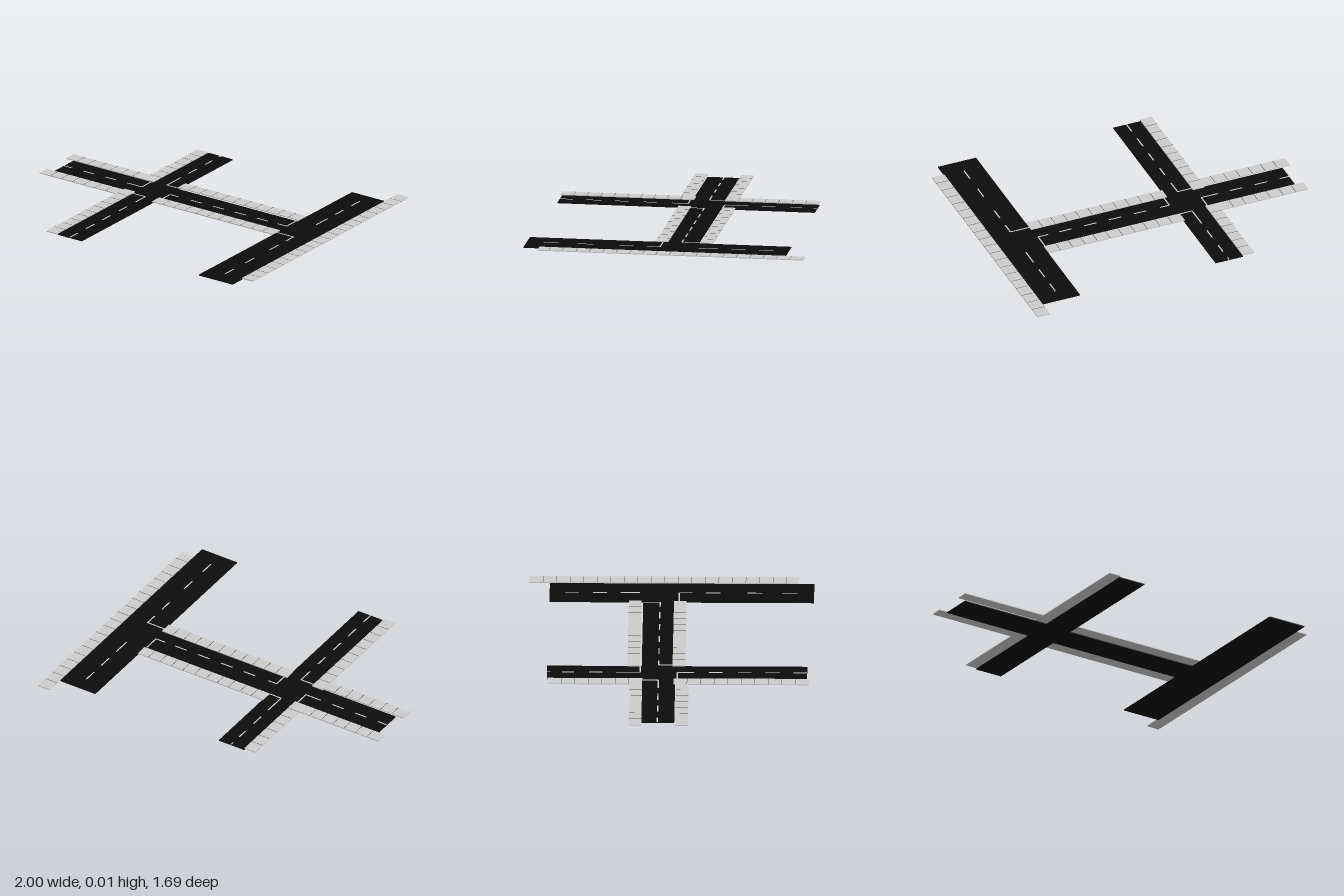
import * as THREE from 'three';

const ROAD_TOP = 0.006, WALK_TOP = 0.012, TILE = 0.08, LINE = 0.008;

const asphalt = new THREE.MeshStandardMaterial({ color: 0x0c0c0c });
const paving = new THREE.MeshStandardMaterial({ color: 0xcccccc });
const paint = new THREE.MeshStandardMaterial({ color: 0xcccccc });
const joint = new THREE.MeshStandardMaterial({ color: 0x555555 });

// Flat box spanning the given x, y and z ranges
function slab(parent, name, material, [x0, x1], [y0, y1], [z0, z1]) {
  const mesh = new THREE.Mesh(new THREE.BoxGeometry(x1 - x0, y1 - y0, z1 - z0), material);
  mesh.position.set((x0 + x1) / 2, (y0 + y1) / 2, (z0 + z1) / 2);
  mesh.name = name;
  parent.add(mesh);
}

// Raised pavement with a dark joint between each square tile
function sidewalk(parent, name, xs, zs) {
  const group = new THREE.Group();
  group.name = name;
  slab(group, 'pavingSlab', paving, xs, [ROAD_TOP, WALK_TOP - 0.0005], zs);
  const alongX = xs[1] - xs[0] > zs[1] - zs[0];
  const [start, end] = alongX ? xs : zs;
  for (let p = start + TILE; p < end - 0.01; p += TILE) {
    const cut = [p - 0.0015, p + 0.0015], h = [WALK_TOP - 0.001, WALK_TOP];
    slab(group, 'tileJoint', joint, alongX ? cut : xs, h, alongX ? zs : cut);
  }
  parent.add(group);
}

// Painted line lying on the road, along x or z
function line(parent, name, axis, centre, from, to) {
  const across = [centre - LINE / 2, centre + LINE / 2], along = [from, to];
  slab(parent, name, paint, axis === 'x' ? along : across,
    [ROAD_TOP - 0.001, ROAD_TOP + 0.001], axis === 'x' ? across : along);
}

export function createModel() {
  const model = new THREE.Group();
  model.name = 'roadJunction';

  // Roads: two cross streets joined by a main street
  const roads = [
    ['westRoad', [-0.95, -0.37], [-0.165, 0.03]],
    ['crossRoad', [-0.37, -0.195], [-0.73, 0.81]],
    ['linkRoad', [-0.195, 0.675], [-0.17, 0.012]],
    ['eastRoad', [0.675, 0.92], [-0.725, 0.84]],
  ];
  for (const [name, xs, zs] of roads) slab(model, name, asphalt, xs, [0, ROAD_TOP], zs);

  // Pavements
  const walks = [
    ['westBackSidewalk', [-1, -0.445], [-0.24, -0.165]],
    ['westFrontSidewalk', [-1, -0.445], [0.035, 0.11]],
    ['crossBackSidewalk', [-0.445, -0.37], [-0.725, -0.165]],
    ['crossFrontSidewalk', [-0.445, -0.37], [0.02, 0.82]],
    ['linkBackSidewalk', [-0.2, 0.675], [-0.255, -0.18]],
    ['linkFrontSidewalk', [-0.2, 0.675], [0.012, 0.087]],
    ['eastSidewalk', [0.92, 1], [-0.845, 0.745]],
  ];
  for (const walk of walks) sidewalk(model, ...walk);

  // Dashed centre lines: axis, centre, then start and end of each dash
  const dashes = [
    ['x', -0.07, [[-0.95, -0.89], [-0.81, -0.73], [-0.65, -0.57], [-0.49, -0.385]]],
    ['x', -0.07, [[-0.18, -0.12], [-0.03, 0.05], [0.13, 0.21], [0.29, 0.37], [0.45, 0.53], [0.6, 0.665]]],
    ['z', -0.28, [[-0.73, -0.71], [-0.64, -0.57], [-0.48, -0.4], [-0.32, -0.18]]],
    ['z', -0.28, [[0.04, 0.14], [0.23, 0.31], [0.4, 0.48], [0.56, 0.65], [0.73, 0.81]]],
    ['z', 0.795, [[-0.635, -0.55], [-0.47, -0.385], [-0.305, -0.19]]],
    ['z', 0.795, [[0.04, 0.12], [0.2, 0.285], [0.445, 0.535], [0.65, 0.74]]],
  ];
  for (const [axis, centre, spans] of dashes)
    for (const [a, b] of spans) line(model, 'centreDash', axis, centre, a, b);

  // Stop lines at the junctions
  const stops = [
    ['z', -0.385, -0.165, -0.07],
    ['z', -0.18, -0.07, 0.012],
    ['z', 0.665, -0.17, -0.07],
    ['x', -0.178, -0.28, -0.197],
    ['x', 0.042, -0.37, -0.28],
    ['x', 0.042, 0.675, 0.795],
  ];
  for (const stop of stops) line(model, 'stopLine', ...stop);

  return model;
}
